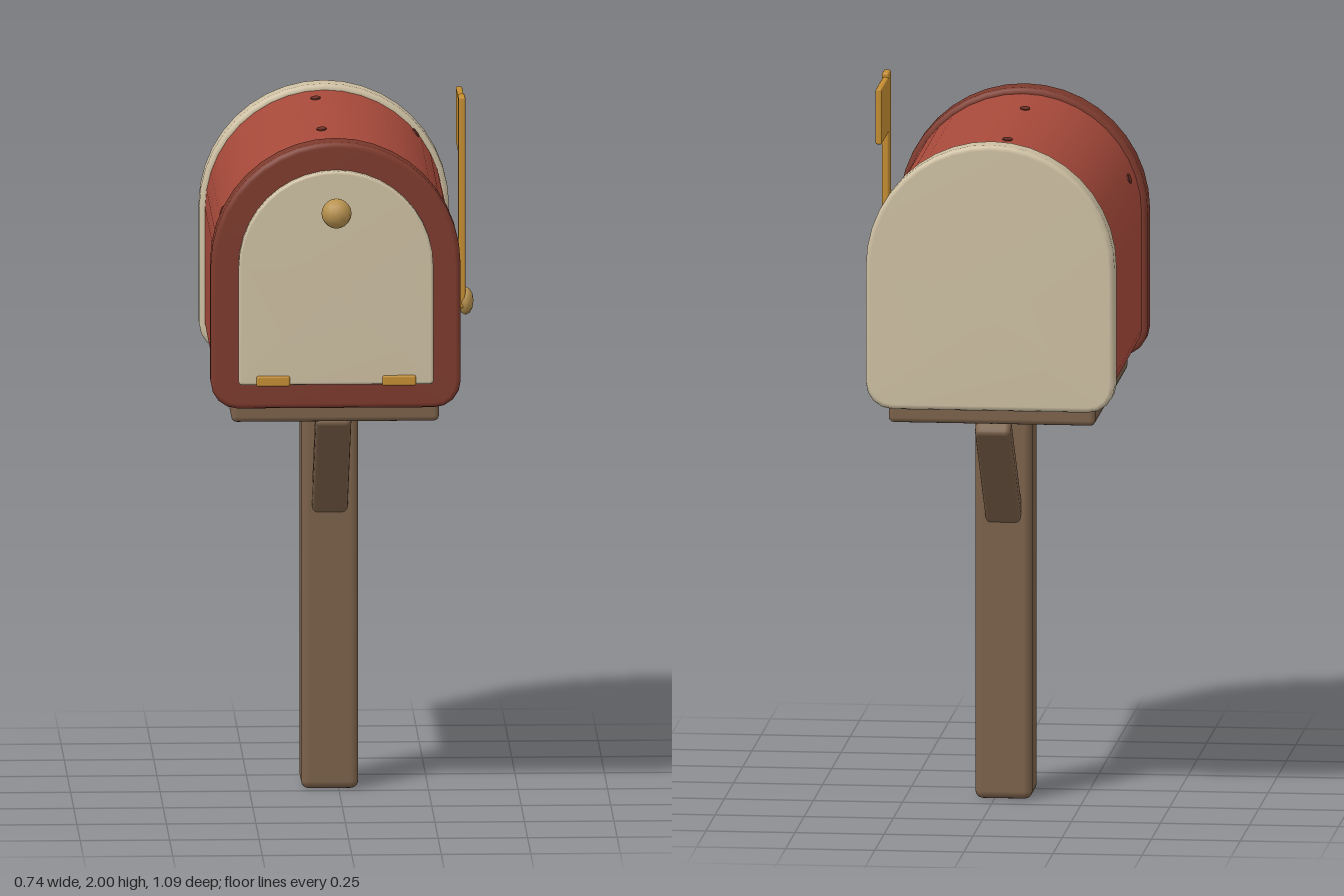
import * as THREE from 'three';
import { RoundedBoxGeometry } from 'three/addons/geometries/RoundedBoxGeometry.js';

const CX = -0.025;   // centre line of the box and post
const SPRING = 1.572; // height where the arch begins

const paint = (name, color) => {
  const m = new THREE.MeshStandardMaterial({ color });
  m.name = name;
  return m;
};

// Arched outline, counter-clockwise seen from the front
function archPoints(r, bottom, corner) {
  const pts = [];
  const arc = (cx, cy, rad, a0, a1, n) => {
    for (let i = 0; i <= n; i++) {
      const a = a0 + ((a1 - a0) * i) / n;
      pts.push([cx + rad * Math.cos(a), cy + rad * Math.sin(a)]);
    }
  };
  arc(r - corner, bottom + corner, corner, -Math.PI / 2, 0, 4);
  arc(0, SPRING, r, 0, Math.PI, 20);
  arc(-r + corner, bottom + corner, corner, Math.PI, Math.PI * 1.5, 4);
  return pts;
}

// Solid arch between two depths with softly rounded rims and shallow fan ends
function archSolid(r, bottom, corner, z0, z1, bevel) {
  const k = bevel * 0.3;
  const loops = [[z0, bevel], [z0 + k, k], [z0 + bevel, 0], [z1 - bevel, 0], [z1 - k, k], [z1, bevel]];
  const pos = [], idx = [];
  let n = 0;
  for (const [z, inset] of loops) {
    const pts = archPoints(r - inset, bottom + inset, Math.max(corner - inset, 0.004));
    n = pts.length;
    for (const [x, y] of pts) pos.push(x, y, z);
  }
  const back = n * loops.length, front = back + 1, midY = bottom + 0.27;
  pos.push(0, midY, z0, 0, midY, z1);
  const last = n * (loops.length - 1);
  for (let j = 0; j < n; j++) {
    const q = (j + 1) % n;
    for (let i = 0; i < last; i += n) {
      idx.push(i + j, i + q, i + n + q, i + j, i + n + q, i + n + j);
    }
    idx.push(back, q, j, front, last + j, last + q);
  }
  const g = new THREE.BufferGeometry();
  g.setAttribute('position', new THREE.Float32BufferAttribute(pos, 3));
  g.setIndex(idx);
  g.computeVertexNormals();
  return g;
}

export function createModel() {
  const group = new THREE.Group();
  group.name = 'mailbox';

  const red = paint('barn red', 0xa84a3b);
  const darkRed = paint('dark red', 0x7d3a2d);
  const cream = paint('cream', 0xcdbfa2);
  const wood = paint('weathered wood', 0x7b614a);
  const gold = paint('flag gold', 0xc48d31);
  const brass = paint('brass', 0xb8924f);
  const rust = paint('worn patch', 0x6b2f25);

  const add = (name, geo, mat, x = 0, y = 0, z = 0) => {
    const m = new THREE.Mesh(geo, mat);
    m.name = name;
    m.position.set(x, y, z);
    group.add(m);
    return m;
  };
  const box = (name, mat, w, h, d, x, y, z, r) =>
    add(name, new RoundedBoxGeometry(w, h, d, 2, r), mat, x, y, z);

  // Post, board and the two diagonal braces
  box('post', wood, 0.16, 1.125, 0.16, CX, 0.5625, -0.1, 0.022);
  box('baseBoard', wood, 0.58, 0.06, 0.895, CX, 1.15, -0.042, 0.015);
  for (const s of [1, -1]) {
    const from = new THREE.Vector2(-0.1 + s * 0.035, 0.785);
    const to = new THREE.Vector2(-0.1 + s * 0.355, 1.115);
    const mid = from.clone().add(to).multiplyScalar(0.5);
    const brace = box(s > 0 ? 'frontBrace' : 'backBrace', wood, 0.1, from.distanceTo(to), 0.062,
      CX, mid.y, mid.x, 0.015);
    brace.rotation.x = Math.atan2(to.x - from.x, to.y - from.y);
  }

  // Arched box: body, front frame, back cap and door
  add('body', archSolid(0.333, 1.178, 0.065, -0.47, 0.38, 0.01), red, CX);
  add('frontFrame', archSolid(0.349, 1.166, 0.075, 0.36, 0.45, 0.015), darkRed, CX);
  add('backCap', archSolid(0.349, 1.166, 0.075, -0.54, -0.457, 0.015), cream, CX);
  add('door', archSolid(0.272, 1.238, 0.01, 0.44, 0.476, 0.008), cream, CX);

  // Door fittings
  add('knob', new THREE.SphereGeometry(0.042, 12, 10), brass, CX, 1.73, 0.504);
  for (const s of [1, -1]) {
    box('hinge', gold, 0.094, 0.03, 0.03, CX + s * 0.176, 1.25, 0.466, 0.006);
  }

  // Signal flag on its pivot
  box('flagArm', gold, 0.02, 0.6, 0.056, 0.337, 1.7, 0.156, 0.006);
  box('flag', gold, 0.018, 0.158, 0.19, 0.337, 1.908, 0.04, 0.005);
  const hub = new THREE.SphereGeometry(0.04, 8, 6);
  hub.rotateZ(Math.PI / 2);
  hub.scale(0.55, 1, 1);
  add('flagPivot', hub, brass, 0.348, 1.416, 0.152);

  // Small worn patches lying on the curved roof: angle from the top, depth
  for (const [deg, z] of [[-5, -0.34], [-5, 0.14], [50, -0.435], [-69, 0.24]]) {
    const a = THREE.MathUtils.degToRad(deg);
    const patch = add('wornPatch', new THREE.CylinderGeometry(0.014, 0.014, 0.008, 12), rust,
      CX + 0.331 * Math.sin(a), SPRING + 0.331 * Math.cos(a), z);
    patch.rotation.z = -a;
    patch.scale.z = 1.8;
  }

  return group;
}
